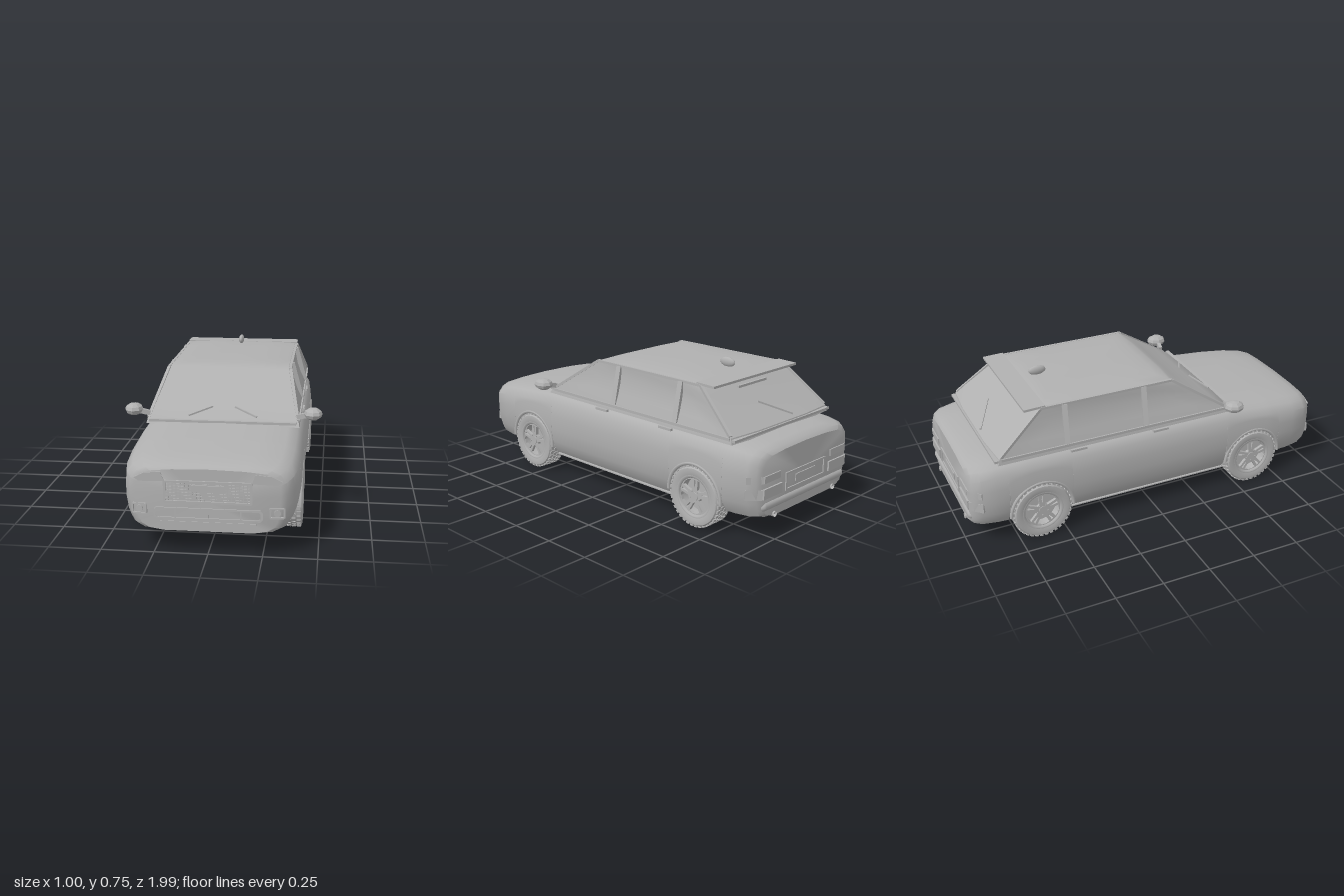
import * as THREE from 'three';
import { mergeGeometries, toCreasedNormals } from 'three/addons/utils/BufferGeometryUtils.js';

const grey = new THREE.MeshStandardMaterial({ color: 0xb0b0b0, side: THREE.DoubleSide });
grey.name = 'plainGrey';

const WHEEL_Y = 0.157, FRONT_Z = 0.59, REAR_Z = -0.63, ARCH_R = 0.166;

function add(parent, name, geo, x = 0, y = 0, z = 0) {
  const m = new THREE.Mesh(geo, grey);
  m.name = name;
  m.position.set(x, y, z);
  parent.add(m);
  return m;
}
const box = (g, name, w, h, d, x, y, z) => add(g, name, new THREE.BoxGeometry(w, h, d), x, y, z);

// straight bar between two points
function bar(g, name, p, q, w, h) {
  const a = new THREE.Vector3(...p), b = new THREE.Vector3(...q);
  const m = add(g, name, new THREE.BoxGeometry(w, h, a.distanceTo(b)));
  m.position.copy(a).add(b).multiplyScalar(0.5);
  m.lookAt(b);
  return m;
}

// skin over closed rings, with fan caps at both ends
function loft(rings, crease) {
  const n = rings[0].length, pos = rings.flat(2), idx = [];
  for (let i = 0; i < rings.length - 1; i++) for (let j = 0; j < n; j++) {
    const a = i * n + j, b = i * n + (j + 1) % n;
    idx.push(a, b, a + n, b, b + n, a + n);
  }
  [0, rings.length - 1].forEach((r, end) => {
    const c = pos.length / 3;
    for (let k = 0; k < 3; k++) pos.push(rings[r].reduce((s, p) => s + p[k], 0) / n);
    for (let j = 0; j < n; j++) {
      const a = r * n + j, b = r * n + (j + 1) % n;
      idx.push(...(end ? [c, a, b] : [c, b, a]));
    }
  });
  const g = new THREE.BufferGeometry();
  g.setAttribute('position', new THREE.Float32BufferAttribute(pos, 3));
  g.setIndex(idx);
  return toCreasedNormals(g, crease);
}

function lerpTable(t, z) {
  let i = 0;
  while (i < t.length - 2 && z < t[i + 1][0]) i++;
  const f = THREE.MathUtils.clamp((t[i][0] - z) / (t[i][0] - t[i + 1][0]), 0, 1);
  return t[i].map((v, k) => v + (t[i + 1][k] - v) * f);
}

// rows: z, half width, top height, sill height, floor height
const PLAN = [
  [0.99, 0.33, 0.405, 0.14, 0.108], [0.977, 0.358, 0.417, 0.135, 0.105], [0.93, 0.388, 0.43, 0.128, 0.103],
  [0.85, 0.405, 0.442, 0.124, 0.104], [0.7, 0.414, 0.458, 0.12, 0.11], [0.45, 0.416, 0.478, 0.118, 0.115],
  [0, 0.417, 0.478, 0.118, 0.115], [-0.7, 0.414, 0.475, 0.118, 0.115], [-0.85, 0.405, 0.468, 0.122, 0.11],
  [-0.93, 0.39, 0.458, 0.126, 0.108], [-0.967, 0.365, 0.447, 0.132, 0.11], [-0.982, 0.335, 0.43, 0.14, 0.115]];

function bodyRing(z, archY) {
  const [, w, t, sill, floor] = lerpTable(PLAN, z);
  const low = archY ?? sill, high = t - 0.065, inner = Math.min(0.295, w * 0.82);
  const half = [[0, t], [0.5 * w, t - 0.004], [0.8 * w, t - 0.013], [0.91 * w, t - 0.03]];
  for (const f of [1, 0.75, 0.5, 0.25, 0.1, 0]) {
    const y = low + (high - low) * f, d = y - 0.29;
    half.push([w * (1 - 2 * d ** 2 - (d < 0 ? 60 * d ** 4 : 0)), y]);
  }
  if (archY) half.push([inner, low], [inner, floor]);
  else half.push([inner, floor + (low - floor) * 0.35], [inner * 0.75, floor]);
  half.push([0, floor]);
  const left = half.slice(1, -1).reverse().map(([x, y]) => [-x, y]);
  return [...half, ...left].map(([x, y]) => [x, y, z]);
}

function bodyGeometry() {
  const st = PLAN.map(r => [r[0]]).concat([[0.2], [-0.3]])
    .filter(([z]) => [FRONT_Z, REAR_Z].every(c => Math.abs(z - c) > ARCH_R));
  for (const c of [FRONT_Z, REAR_Z]) {
    st.push([c + ARCH_R + 1e-4], [c - ARCH_R - 1e-4]);
    for (let i = 0; i <= 18; i++) {
      const a = Math.PI * i / 18;
      st.push([c + ARCH_R * Math.cos(a), WHEEL_Y + ARCH_R * Math.sin(a)]);
    }
  }
  st.sort((a, b) => b[0] - a[0]);
  return loft(st.map(s => bodyRing(...s)), 0.65);
}

// cabin rows: height, half width, front z, rear z, inward dish of the glass
const CABIN = [[0.705, 0.16, 0, -0.5, 0], [0.7, 0.26, 0.08, -0.56, 0], [0.692, 0.312, 0.125, -0.585, 0],
  [0.682, 0.325, 0.145, -0.6, 0], [0.645, 0.337, 0.205, -0.652, 0.011], [0.6, 0.35, 0.275, -0.708, 0.015],
  [0.54, 0.367, 0.372, -0.785, 0.011], [0.49, 0.38, 0.45, -0.842, 0], [0.46, 0.386, 0.47, -0.85, 0]];
const cabinRing = ([y, w, f, r, d]) => [
  [w, f - 0.012], [w * 0.5, f - d], [-w * 0.5, f - d], [-w, f - 0.012], [d - w, f - 0.17], [d - w, r + 0.17],
  [-w, r + 0.015], [-w * 0.5, r + d], [w * 0.5, r + d], [w, r + 0.015], [w - d, r + 0.17], [w - d, f - 0.17]].map(([x, z]) => [x, y, z]);

// flat outline with optional holes, extruded towards +z
function plate(pts, depth, holes = []) {
  const v = p => p.map(([x, y]) => new THREE.Vector2(x, y));
  const s = new THREE.Shape(v(pts));
  holes.forEach(h => s.holes.push(new THREE.Path(v(h))));
  return new THREE.ExtrudeGeometry(s, { depth, bevelEnabled: false });
}
const rect = (w, h, c = 0) => [[-w + c, -h], [w - c, -h], [w, -h + c], [w, h - c], [w - c, h], [-w + c, h], [-w, h - c], [-w, -h + c]];
const polar = (r, a) => [r * Math.cos(a), r * Math.sin(a)];

// wheel with its outer face towards +x
function makeWheel() {
  const g = new THREE.Group();
  const ring = pts => new THREE.LatheGeometry(pts.map(p => new THREE.Vector2(...p)), 40).rotateZ(-Math.PI / 2);
  add(g, 'tyre', toCreasedNormals(ring([[0.104, -0.046], [0.125, -0.052], [0.143, -0.05], [0.151, -0.04],
    [0.152, 0], [0.151, 0.04], [0.143, 0.05], [0.125, 0.052], [0.104, 0.046], [0.104, -0.046]]), 0.7));
  const blocks = [];
  for (let i = 0; i < 36; i++) for (let r = 0; r < 4; r++) {
    blocks.push(new THREE.BoxGeometry(0.019, 0.008, 0.017).translate((r - 1.5) * 0.024, 0.152, 0)
      .rotateX((i + (r % 2) / 2) * Math.PI / 18));
  }
  add(g, 'tread', mergeGeometries(blocks));
  add(g, 'rim', ring([[0.108, 0.048], [0.098, 0.049], [0.093, 0.04], [0.09, -0.04], [0.1, -0.046]]));
  add(g, 'brakeDisc', new THREE.CylinderGeometry(0.088, 0.088, 0.012, 32).rotateZ(-Math.PI / 2), -0.012);
  add(g, 'hub', new THREE.CylinderGeometry(0.02, 0.026, 0.03, 20).rotateZ(-Math.PI / 2), 0.028);
  // five split spokes cut from a disc, with a nut at the root of each
  const outline = Array.from({ length: 40 }, (_, i) => polar(0.094, i * Math.PI / 20)), holes = [];
  for (let i = 0; i < 5; i++) {
    const a = Math.PI / 2 + i * Math.PI * 0.4, gap = a + Math.PI / 5;
    holes.push([[0.036, -0.2], [0.086, -0.4], [0.089, -0.13], [0.089, 0.13], [0.086, 0.4], [0.036, 0.2]].map(([r, t]) => polar(r, gap + t)));
    holes.push([[0.045, -0.03], [0.084, -0.07], [0.084, 0.07], [0.045, 0.03]].map(([r, t]) => polar(r, a + t)));
    const [z, y] = polar(0.03, gap);
    add(g, 'wheelNut', new THREE.CylinderGeometry(0.004, 0.004, 0.01, 6).rotateZ(Math.PI / 2), 0.04, y, -z);
  }
  add(g, 'spokes', plate(outline, 0.016, holes).rotateY(Math.PI / 2), 0.024);
  return g;
}

export function createModel() {
  const car = new THREE.Group();
  car.name = 'car';
  add(car, 'body', bodyGeometry());
  add(car, 'cabin', loft(CABIN.map(cabinRing), 0.5));
  box(car, 'floorPan', 0.74, 0.006, 0.9, 0, 0.107, -0.02);

  // parts on both sides
  for (const s of [1, -1]) {
    for (const z of [FRONT_Z, REAR_Z]) {
      const w = makeWheel();
      w.name = z > 0 ? 'frontWheel' : 'rearWheel';
      w.position.set(s * 0.365, WHEEL_Y, z);
      if (s < 0) w.rotation.y = Math.PI;
      car.add(w);
      const lip = add(car, 'archLip', new THREE.TorusGeometry(ARCH_R, 0.009, 6, 28, Math.PI), s * 0.41, WHEEL_Y, z);
      lip.rotation.y = Math.PI / 2;
    }
    bar(car, 'windscreenPillar', [s * 0.377, 0.485, 0.435], [s * 0.322, 0.684, 0.13], 0.016, 0.014);
    bar(car, 'centrePillar', [s * 0.376, 0.49, -0.045], [s * 0.323, 0.684, -0.035], 0.026, 0.024);
    bar(car, 'rearDoorPillar', [s * 0.376, 0.49, -0.475], [s * 0.323, 0.684, -0.465], 0.026, 0.028);
    bar(car, 'rearPillar', [s * 0.376, 0.495, -0.82], [s * 0.322, 0.684, -0.59], 0.016, 0.014);
    bar(car, 'roofRail', [s * 0.321, 0.686, 0.13], [s * 0.321, 0.686, -0.59], 0.014, 0.012);
    bar(car, 'windowSill', [s * 0.382, 0.484, 0.42], [s * 0.382, 0.484, -0.82], 0.01, 0.014);
    for (const z of [0.035, -0.42]) box(car, 'doorHandle', 0.016, 0.012, 0.085, s * 0.389, 0.452, z);

    // mirror
    bar(car, 'mirrorArm', [s * 0.372, 0.505, 0.42], [s * 0.43, 0.52, 0.43], 0.02, 0.025);
    const shell = toCreasedNormals(new THREE.SphereGeometry(1, 8, 6), 0.3);
    add(car, 'mirror', shell, s * 0.452, 0.526, 0.43).scale.set(0.047, 0.031, 0.055);

    // front lamps
    const lamp = [[0.2, 0.345], [0.215, 0.388], [0.29, 0.382], [0.338, 0.358], [0.315, 0.342]].map(([x, y]) => [x * s, y]);
    add(car, 'headlight', plate(lamp, 0.016), 0, 0, 0.978);
    const fog = new THREE.Group();
    fog.name = 'fogLightUnit';
    fog.position.set(s * 0.313, 0.21, 0.975);
    fog.rotation.y = s * 0.12;
    add(fog, 'fogLampFrame', plate(rect(0.036, 0.026, 0.006), 0.02, [rect(0.028, 0.019)]));
    add(fog, 'fogLamp', new THREE.CylinderGeometry(0.016, 0.016, 0.016, 16).rotateX(Math.PI / 2), 0, 0, 0.012);
    car.add(fog);

    // rear lamps and exhaust
    box(car, 'tailLightUpper', 0.12, 0.034, 0.03, s * 0.265, 0.312, -0.973);
    box(car, 'tailLightLower', 0.14, 0.05, 0.04, s * 0.262, 0.243, -0.971);
    bar(car, 'tailLightSide', [s * 0.332, 0.243, -0.981], [s * 0.389, 0.243, -0.922], 0.02, 0.05);
    bar(car, 'tailLightSideUpper', [s * 0.325, 0.312, -0.981], [s * 0.388, 0.312, -0.926], 0.018, 0.034);
    add(car, 'exhaust', new THREE.CylinderGeometry(0.014, 0.014, 0.06, 16, 1, true).rotateX(Math.PI / 2), s * 0.24, 0.122, -0.96);
  }

  // grille and lower intake
  add(car, 'grilleFrame', plate(rect(0.203, 0.053, 0.005), 0.014, [rect(0.192, 0.043)]), 0, 0.297, 0.984);
  for (let i = 0; i < 6; i++) box(car, 'grilleSlat', 0.386, 0.004, 0.006, 0, 0.262 + i * 0.014, 0.99);
  for (let i = 0; i < 21; i++) box(car, 'grilleRib', 0.004, 0.086, 0.005, (i - 10) * 0.018, 0.297, 0.99);
  box(car, 'frontPlate', 0.148, 0.032, 0.01, 0, 0.314, 0.994);
  add(car, 'lowerIntake', plate(rect(0.25, 0.028, 0.012), 0.012, [rect(0.24, 0.019, 0.008)]), 0, 0.192, 0.984);
  for (const x of [-0.15, 0, 0.15]) box(car, 'intakeDivider', 0.008, 0.04, 0.009, x, 0.192, 0.99);
  box(car, 'frontLip', 0.44, 0.008, 0.01, 0, 0.15, 0.988);

  // tail details
  add(car, 'rearBumper', new THREE.CapsuleGeometry(0.026, 0.62, 6, 12).rotateZ(Math.PI / 2), 0, 0.175, -0.966);
  add(car, 'plateRecessFrame', plate(rect(0.16, 0.045), 0.01, [rect(0.15, 0.036)]), 0, 0.26, -0.988);
  box(car, 'rearPlate', 0.16, 0.036, 0.008, 0, 0.26, -0.983);
  box(car, 'rearWindowSill', 0.76, 0.012, 0.022, 0, 0.478, -0.84);
  bar(car, 'brakeLight', [-0.11, 0.648, -0.643], [0.11, 0.648, -0.643], 0.012, 0.012);

  // roof fittings
  box(car, 'spoiler', 0.65, 0.012, 0.11, 0, 0.692, -0.618).rotation.x = -0.03;
  add(car, 'aerial', new THREE.SphereGeometry(1, 14, 10), 0, 0.727, -0.485).scale.set(0.015, 0.025, 0.047);

  // wipers
  for (const s of [1, -1]) bar(car, 'wiper', [s * 0.172, 0.502, 0.436], [s * 0.057, 0.536, 0.375], 0.008, 0.008);
  bar(car, 'rearWiper', [-0.09, 0.508, -0.83], [0.07, 0.585, -0.735], 0.008, 0.008);
  box(car, 'cowl', 0.74, 0.012, 0.02, 0, 0.48, 0.462);
  return car;
}
